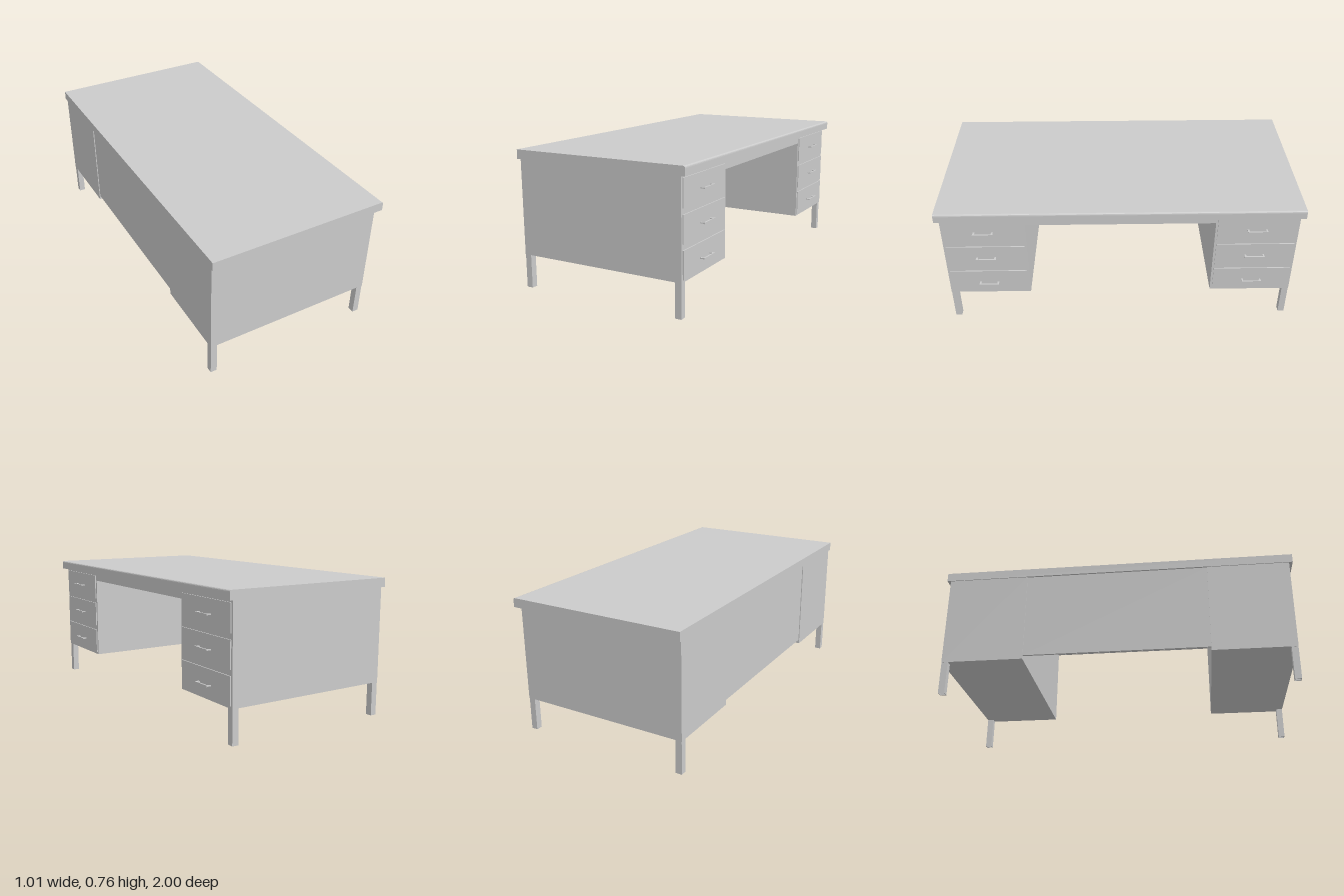
import * as THREE from 'three';

const material = new THREE.MeshStandardMaterial({ color: 0xcccccc, flatShading: true });

// Box given by its min and max on each axis
function box(name, [x0, x1], [y0, y1], [z0, z1]) {
  const mesh = new THREE.Mesh(new THREE.BoxGeometry(x1 - x0, y1 - y0, z1 - z0), material);
  mesh.position.set((x0 + x1) / 2, (y0 + y1) / 2, (z0 + z1) / 2);
  mesh.name = name;
  return mesh;
}

// Desk top: slab with a softened upper edge on the drawer side
function makeTop() {
  const profile = new THREE.Shape();
  profile.moveTo(-0.505, 0.71);
  profile.lineTo(0.505, 0.71);
  profile.lineTo(0.505, 0.748);
  profile.quadraticCurveTo(0.505, 0.76, 0.495, 0.76);
  profile.lineTo(-0.505, 0.76);
  const geometry = new THREE.ExtrudeGeometry(profile, { depth: 2, bevelEnabled: false, curveSegments: 4 });
  geometry.translate(0, 0, -1);
  const top = new THREE.Mesh(geometry, material);
  top.name = 'deskTop';
  return top;
}

// Square tube leg, open at the foot
function makeLeg(x, z) {
  const size = 0.036, wall = 0.003, height = 0.185;
  const square = (ShapeType, h) => new ShapeType([
    new THREE.Vector2(-h, -h), new THREE.Vector2(h, -h),
    new THREE.Vector2(h, h), new THREE.Vector2(-h, h),
  ]);
  const shape = square(THREE.Shape, size / 2);
  shape.holes.push(square(THREE.Path, size / 2 - wall));
  const geometry = new THREE.ExtrudeGeometry(shape, { depth: height, bevelEnabled: false });
  geometry.rotateX(-Math.PI / 2);
  const leg = new THREE.Mesh(geometry, material);
  leg.position.set(x, 0, z);
  leg.name = 'leg';
  return leg;
}

// Drawer front with a bar handle on two posts
function makeDrawer(y0, y1, handleY, z) {
  const drawer = new THREE.Group();
  drawer.name = 'drawer';
  drawer.add(box('drawerFront', [0.472, 0.479], [y0, y1], [z - 0.218, z + 0.218]));
  drawer.add(box('handleBar', [0.497, 0.505], [handleY - 0.004, handleY + 0.004], [z - 0.056, z + 0.056]));
  for (const side of [-1, 1]) {
    const pz = z + side * 0.05;
    drawer.add(box('handlePost', [0.478, 0.5], [handleY - 0.003, handleY + 0.003], [pz - 0.005, pz + 0.005]));
  }
  return drawer;
}

// Pedestal with three drawers and two outer legs
function makePedestal(side) {
  const pedestal = new THREE.Group();
  pedestal.name = side > 0 ? 'leftPedestal' : 'rightPedestal';
  const z = side * 0.75;
  pedestal.add(box('pedestalBody', [-0.5, 0.473], [0.185, 0.71], [z - 0.23, z + 0.23]));
  for (const [y0, y1, handleY] of [[0.55, 0.697, 0.62], [0.375, 0.52, 0.445], [0.198, 0.345, 0.264]]) {
    pedestal.add(makeDrawer(y0, y1, handleY, z));
  }
  for (const x of [-0.481, 0.453]) pedestal.add(makeLeg(x, side * 0.961));
  return pedestal;
}

export function createModel() {
  const desk = new THREE.Group();
  desk.name = 'desk';
  desk.add(makeTop());
  for (const side of [-1, 1]) desk.add(makePedestal(side));
  // Panel closing the knee space and rail under the top
  desk.add(box('modestyPanel', [-0.495, -0.483], [0.208, 0.71], [-0.52, 0.52]));
  desk.add(box('frontRail', [0.461, 0.473], [0.665, 0.71], [-0.52, 0.52]));
  return desk;
}
